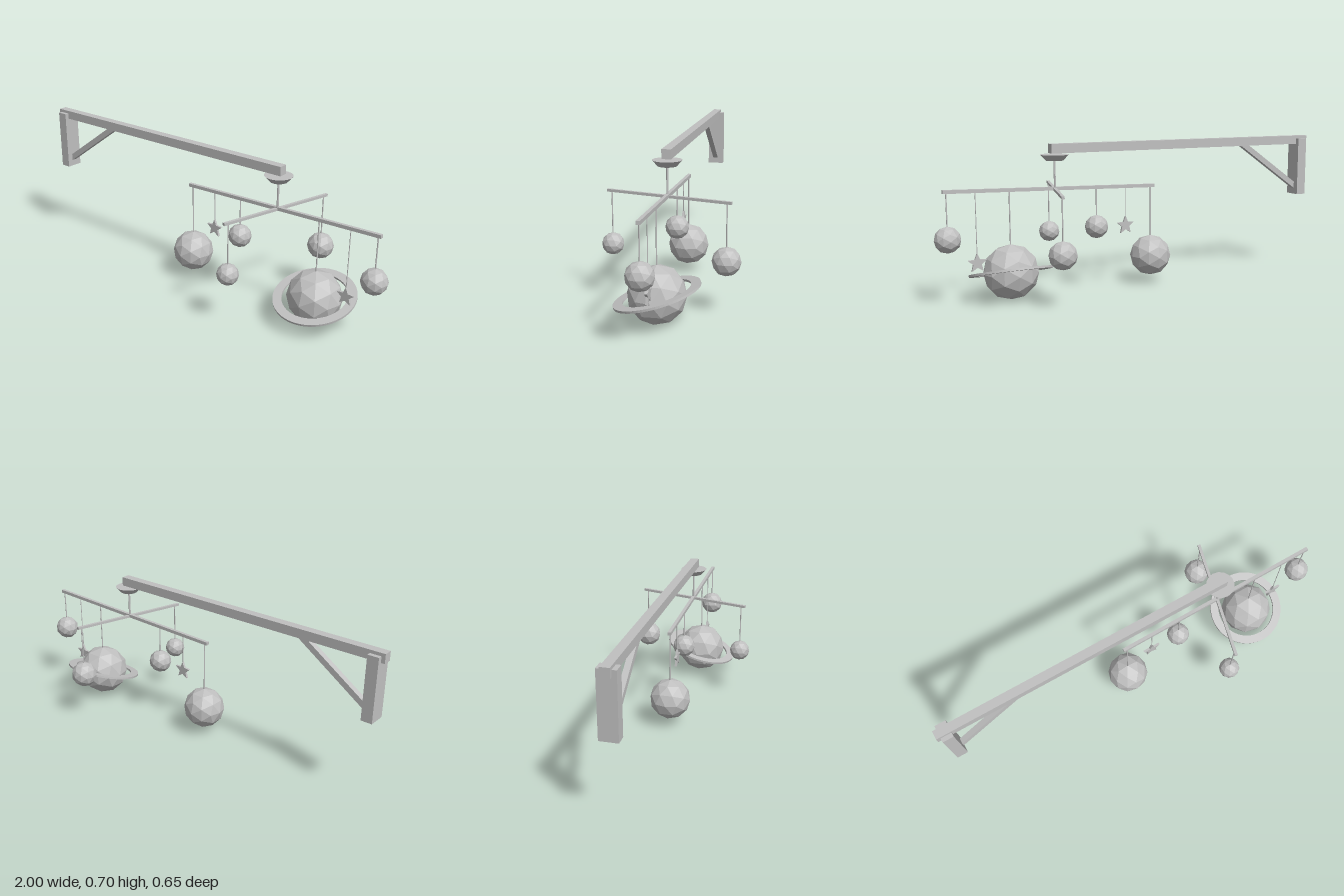
import * as THREE from 'three';

const Z = 0.009; // centre plane of the arm
const HUB_X = 0.438;

export function createModel() {
  const root = new THREE.Group();
  root.name = 'planetMobile';
  const grey = new THREE.MeshStandardMaterial({ color: 0xc0c0c0, flatShading: true });
  grey.name = 'paleGrey';

  function add(name, geometry, x, y, z) {
    const mesh = new THREE.Mesh(geometry, grey);
    mesh.name = name;
    mesh.position.set(x, y, z);
    root.add(mesh);
    return mesh;
  }
  const box = (w, h, d) => new THREE.BoxGeometry(w, h, d);

  // Wall post, arm and diagonal brace
  add('wallPost', box(0.052, 0.298, 0.083), -0.957, 0.539, Z);
  add('arm', box(1.46, 0.043, 0.042), -0.27, 0.681, Z);
  const brace = add('brace', box(0.42, 0.028, 0.027), -0.77, 0.549, Z);
  brace.rotation.z = Math.atan2(0.24, 0.35);

  // Ceiling cup and hanging rod
  add('cup', new THREE.CylinderGeometry(0.066, 0.041, 0.027, 16), HUB_X, 0.64, Z);
  add('rod', new THREE.CylinderGeometry(0.005, 0.005, 0.14, 8), HUB_X, 0.565, Z);

  // Two crossed bars, the long one slightly tilted
  const slope = 0.028;
  const longBar = add('longBar', box(1.035, 0.016, 0.016), HUB_X, 0.497, Z);
  longBar.rotation.z = slope;
  const crossBar = add('crossBar', box(0.014, 0.012, 0.598), HUB_X, 0.494, Z);
  crossBar.rotation.y = -0.257;

  function string(x, y, z, top, radius) {
    add('string', new THREE.CylinderGeometry(radius, radius, top - y, 6), x, (top + y) / 2, z);
  }
  const barY = (x) => 0.497 + (x - HUB_X) * slope;

  // Planets: x, y, z, radius, string top
  const planets = [
    ['largePlanet', -0.06, 0.137, Z, 0.1],
    ['innerPlanet', 0.23, 0.302, Z, 0.056],
    ['ringedPlanet', 0.657, 0.128, Z, 0.128],
    ['endPlanet', 0.94, 0.3, Z, 0.06],
    ['frontPlanet', 0.369, 0.249, 0.276, 0.051],
    ['backPlanet', 0.51, 0.239, -0.26, 0.064],
  ];
  for (const [name, x, y, z, r] of planets) {
    add(name, new THREE.IcosahedronGeometry(r, 1), x, y, z);
    string(x, y + r * 0.9, z, z === Z ? barY(x) : 0.494, 0.003);
  }

  // Tilted flat ring around the ringed planet
  const disc = new THREE.Shape().absarc(0, 0, 0.19, 0, Math.PI * 2);
  disc.holes.push(new THREE.Path().absarc(0, 0, 0.149, 0, Math.PI * 2, true));
  const ringGeo = new THREE.ExtrudeGeometry(disc, { depth: 0.01, bevelEnabled: false, curveSegments: 32 });
  ringGeo.translate(0, 0, -0.005).rotateX(-Math.PI / 2);
  add('planetRing', ringGeo, 0.657, 0.129, Z).rotation.x = 0.275;

  // Five-pointed stars
  const star = new THREE.Shape();
  for (let i = 0; i < 10; i++) {
    const r = i % 2 ? 0.02 : 0.0455;
    const a = Math.PI / 2 + (i * Math.PI) / 5;
    star[i ? 'lineTo' : 'moveTo'](r * Math.cos(a), r * Math.sin(a));
  }
  star.closePath();
  const starGeo = new THREE.ExtrudeGeometry(star, { depth: 0.011, bevelEnabled: false });
  starGeo.translate(0, 0, -0.0055);
  for (const [x, y] of [[0.077, 0.297], [0.812, 0.184]]) {
    add('star', starGeo, x, y, Z);
    string(x, y + 0.04, Z, barY(x), 0.002);
  }
  return root;
}
